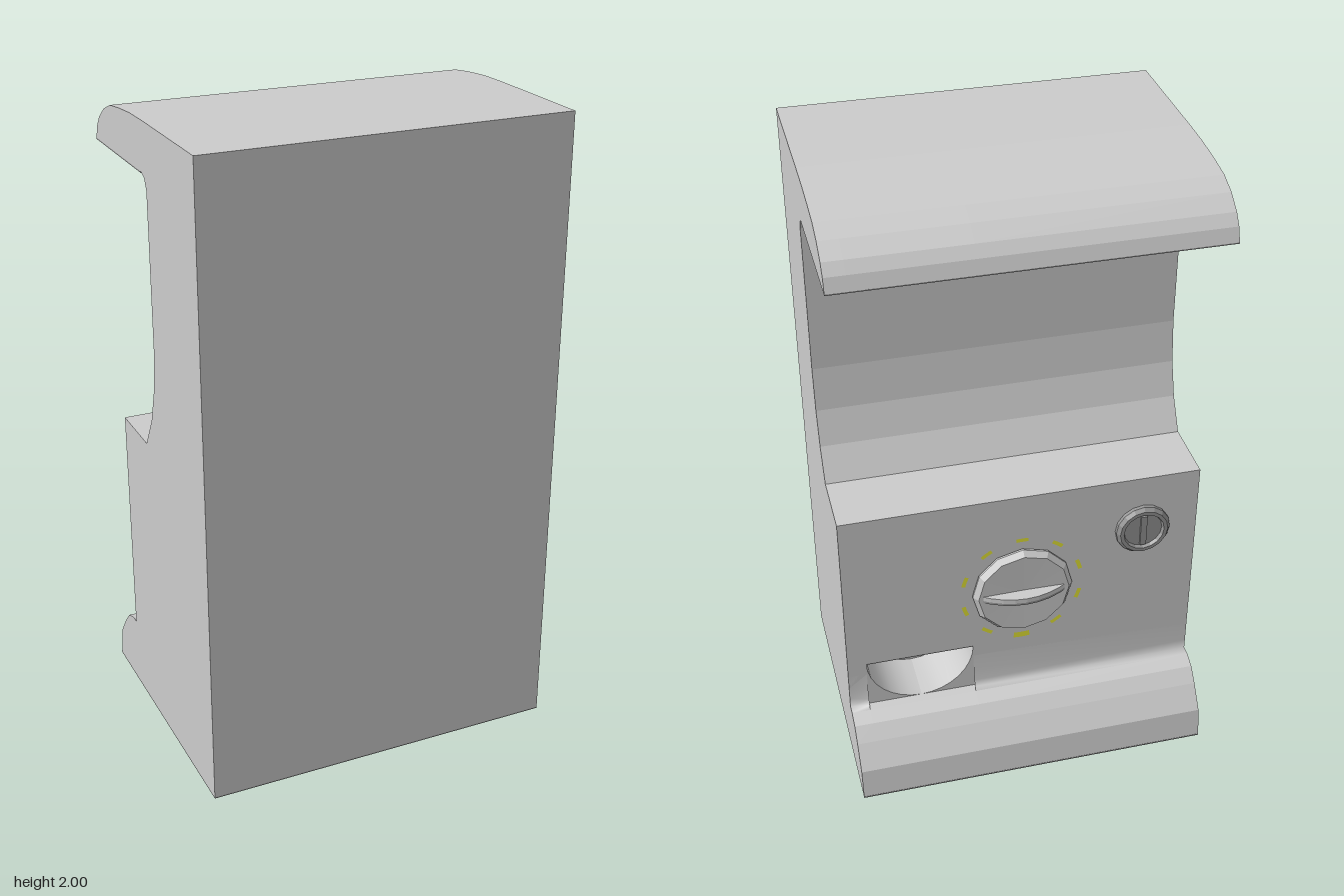
import * as THREE from 'three';
import { toCreasedNormals } from 'three/addons/utils/BufferGeometryUtils.js';

const HALF = 0.57;
const PANEL = -0.26;
const SKIN = 0.004;

// Side outlines as [z, y]: shared upper part, then the curved foot
const upper = [
  [0.45, SKIN], [0.45, 2], [0.05, 2], [-0.06, 1.998], [-0.16, 1.99], [-0.24, 1.98],
  [-0.3, 1.957], [-0.35, 1.922], [-0.375, 1.89], [-0.39, 1.849],
  [0.02, 1.849], [0.047, 1.837], [0.062, 1.805],
  [0.062, 1.33], [0.045, 1.19], [0.01, 1.08], [-0.05, 0.98], [PANEL, 0.98],
];
const foot = [[-0.29, 0.23], [-0.335, 0.213], [-0.375, 0.172], [-0.43, 0.1], [-0.447, SKIN]];

// Cove between panel and foot: sharp outline at the cabinet sides, full curve by the chute
const coveSharp = [[PANEL, 0.36], [PANEL, 0.31], [PANEL, 0.265], [PANEL, 0.23], [-0.29, 0.23]];
const coveFull = [[PANEL, 0.36], [-0.265, 0.3], [-0.272, 0.262], [-0.28, 0.241], [-0.29, 0.23]];

export function createModel() {
  const model = new THREE.Group();
  model.name = 'capsuleMachine';

  const material = (name, color, options = {}) => {
    const m = new THREE.MeshStandardMaterial({ color, ...options });
    m.name = name;
    return m;
  };
  const grey = material('bodyGrey', 0xcccccc);
  const coveGrey = material('coveGrey', 0xcccccc, { side: THREE.DoubleSide });
  const darkGrey = material('darkGrey', 0x949494);
  const yellow = material('markYellow', 0xeaea38, { side: THREE.DoubleSide });

  const add = (name, geometry, mat, x = 0, y = 0, z = 0, parent = model) => {
    const mesh = new THREE.Mesh(geometry, mat);
    mesh.name = name;
    mesh.position.set(x, y, z);
    parent.add(mesh);
  };

  // Slice of the cabinet between two x positions
  const slice = (name, points, x0, x1) => {
    const shape = new THREE.Shape(points.map(([z, y]) => new THREE.Vector2(-z, y)));
    const geometry = new THREE.ExtrudeGeometry(shape, { depth: x1 - x0, bevelEnabled: false });
    geometry.rotateY(Math.PI / 2);
    add(name, geometry, grey, x0);
  };

  // Cabinet, with a recess for the chute in the middle slice
  const chuteX = 0.335, chuteR = 0.175, chuteTop = 0.405, chuteFloor = 0.23, chuteBack = -0.09;
  const chuteLeft = chuteX + chuteR, chuteRight = chuteX - chuteR;
  const solid = [...upper, [PANEL, chuteFloor], ...foot];
  slice('cabinetMain', solid, -HALF, chuteRight);
  slice('cabinetEdge', solid, chuteLeft, HALF);
  slice('cabinetChute', [
    ...upper, [PANEL, chuteTop], [chuteBack, chuteTop], [chuteBack, chuteFloor], ...foot,
  ], chuteRight, chuteLeft);

  // Dark thin linings on the undersides
  const lining = (name, x, width, y, z0, z1) =>
    add(name, new THREE.BoxGeometry(width, SKIN, z1 - z0), darkGrey, x, y - SKIN / 2, (z0 + z1) / 2);
  lining('baseLining', 0, HALF * 2, SKIN, -0.448, 0.45);
  lining('canopyLining', 0, HALF * 2, 1.849, -0.39, 0.02);
  lining('chuteLining', chuteX, chuteR * 2, chuteTop, PANEL, chuteBack);

  // Rounded corners that turn the chute into a half circle
  for (const side of [-1, 1]) {
    const shape = new THREE.Shape();
    shape.moveTo(0, chuteFloor);
    for (let i = 1; i <= 8; i++) {
      const a = (Math.PI / 2) * (i / 8);
      shape.lineTo(side * chuteR * Math.sin(a), chuteTop - chuteR * Math.cos(a));
    }
    shape.lineTo(side * chuteR, chuteFloor);
    const geometry = new THREE.ExtrudeGeometry(shape, { depth: chuteBack - PANEL, bevelEnabled: false });
    add('chuteCorner', toCreasedNormals(geometry, 0.5), grey, chuteX, 0, PANEL);
  }

  // Cove surfaces tapering out from the chute to each side of the cabinet
  const cove = (name, sharpX, fullX) => {
    const positions = [];
    const index = [];
    for (let i = 0; i < coveFull.length; i++) {
      positions.push(sharpX, coveSharp[i][1], coveSharp[i][0]);
      positions.push(fullX, coveFull[i][1], coveFull[i][0]);
      if (i === 0) continue;
      const a = 2 * i - 2;
      const quad = [a, a + 2, a + 1, a + 1, a + 2, a + 3];
      index.push(...(sharpX < fullX ? quad.reverse() : quad));
    }
    const geometry = new THREE.BufferGeometry();
    geometry.setAttribute('position', new THREE.Float32BufferAttribute(positions, 3));
    geometry.setIndex(index);
    geometry.computeVertexNormals();
    add(name, geometry, coveGrey);
  };
  cove('coveRight', -HALF, chuteRight);
  cove('coveLeft', HALF, chuteLeft);

  // Turned part whose axis points out of the panel
  const turned = (points, sides) => {
    const profile = points.map(([r, h]) => new THREE.Vector2(r, h));
    const geometry = new THREE.LatheGeometry(profile, sides).toNonIndexed();
    geometry.computeVertexNormals();
    return geometry.rotateX(-Math.PI / 2);
  };

  // Turning dial with a bowed blade as grip, dark underneath
  const dial = new THREE.Group();
  dial.name = 'dial';
  dial.position.set(0, 0.62, PANEL);
  model.add(dial);
  add('dialDisc', turned([[0, 0.005], [0.162, 0.005], [0.162, 0.012], [0.147, 0.031], [0, 0.028]], 12), grey, 0, 0, 0, dial);
  const blade = new THREE.Shape();
  blade.moveTo(-0.15, 0.02);
  blade.lineTo(0.15, 0.02);
  blade.quadraticCurveTo(0, 0.122, -0.15, 0.02);
  const addBlade = (name, mat, y, depth) => {
    const geometry = new THREE.ExtrudeGeometry(blade, { depth, bevelEnabled: false, curveSegments: 8 });
    add(name, geometry.rotateX(-Math.PI / 2), mat, 0, y, 0, dial);
  };
  addBlade('dialGrip', grey, -0.004, 0.016);
  addBlade('dialGripUnderside', darkGrey, -0.012, 0.008);

  // Painted marks around the dial, the lowest one larger
  for (let i = 0; i < 10; i++) {
    const angle = -Math.PI / 2 + (i * Math.PI) / 5;
    const length = i === 0 ? 0.26 : 0.2;
    const mark = new THREE.RingGeometry(0.188, i === 0 ? 0.209 : 0.201, 4, 1, angle - length / 2, length);
    add('dialMark', mark.rotateY(Math.PI), yellow, 0, 0, -0.003, dial);
  }

  // Lock with a raised rim and an upright key bar
  const lock = new THREE.Group();
  lock.name = 'lock';
  lock.position.set(-0.39, 0.787, PANEL);
  model.add(lock);
  add('lockRim', turned([[0.088, 0], [0.088, 0.012], [0.078, 0.024], [0.066, 0.024], [0.062, 0.012], [0, 0.012]], 16), darkGrey, 0, 0, 0, lock);
  add('lockBar', new THREE.BoxGeometry(0.02, 0.11, 0.012), darkGrey, 0, 0, -0.014, lock);

  return model;
}
